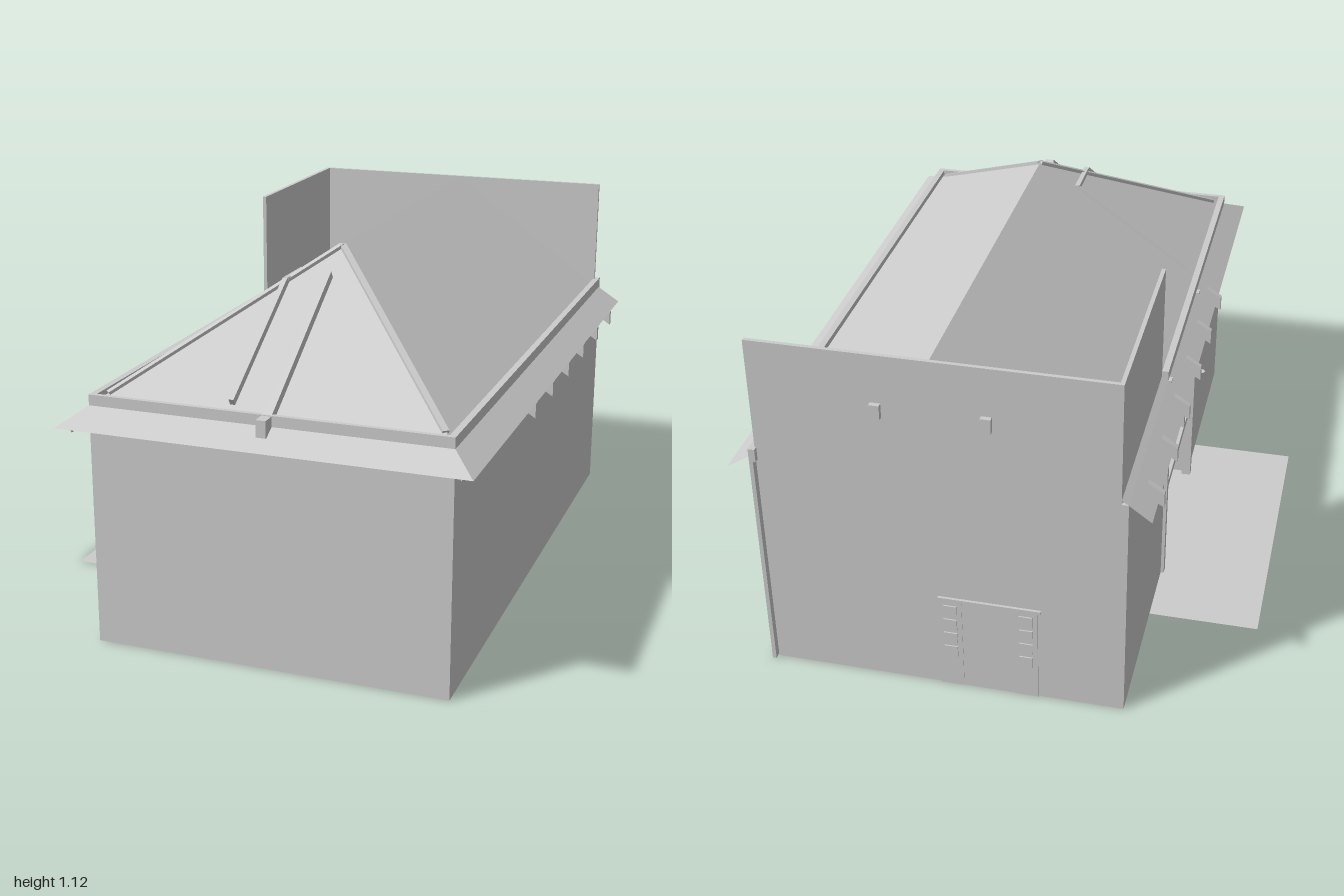
import * as THREE from 'three';

export function createModel() {
  const model = new THREE.Group();
  const mat = new THREE.MeshStandardMaterial({ color: 0xcccccc, side: THREE.DoubleSide, flatShading: true });

  const add = (name, geometry) => {
    const mesh = new THREE.Mesh(geometry, mat);
    mesh.name = name;
    model.add(mesh);
    return mesh;
  };
  // Box given by its minimum and maximum corners
  const box = (name, x0, x1, y0, y1, z0, z1) =>
    add(name, new THREE.BoxGeometry(x1 - x0, y1 - y0, z1 - z0))
      .position.set((x0 + x1) / 2, (y0 + y1) / 2, (z0 + z1) / 2);
  // Flat sheet through three or four corners
  const sheet = (name, ...corners) => {
    const g = new THREE.BufferGeometry();
    g.setAttribute('position', new THREE.Float32BufferAttribute(corners.flat(), 3));
    g.setIndex(corners.length === 4 ? [0, 1, 2, 0, 2, 3] : [0, 1, 2]);
    g.computeVertexNormals();
    add(name, g);
  };
  // Square bar between two points
  const bar = (name, a, b, w, h) => {
    const p = new THREE.Vector3(...a), q = new THREE.Vector3(...b);
    const mesh = add(name, new THREE.BoxGeometry(w, h, p.distanceTo(q)));
    mesh.position.copy(p).add(q).multiplyScalar(0.5);
    mesh.lookAt(q);
  };

  const L = -0.41, R = 0.67, B = -0.985, F = 0.91, mid = 0.135;
  const wallTop = 0.735, ridge = 1.115, apexZ = 0.3, t = 0.012;
  const openBack = -0.34, openFront = 0.24;

  // Floor with an open corner and a paved step outside the entrance
  const floor = new THREE.Shape([
    [R, -F], [R, -B], [L, -B], [L, 0.55], [-0.75, 0.55], [-0.75, -0.41], [-0.02, -0.41], [-0.02, -F],
  ].map(([x, y]) => new THREE.Vector2(x, y)));
  add('floor', new THREE.ShapeGeometry(floor).rotateX(-Math.PI / 2));

  // Outer walls
  box('frontWall', L, R, 0, wallTop, F - t, F);
  box('sideWall', R - t, R, 0, wallTop, -1, F);
  box('entranceWallFront', L, L + t, 0, wallTop, openFront, F);
  box('entranceWallBack', L, L + t, 0, wallTop, B, openBack);
  box('tallBackWall', L + 0.02, R - 0.015, 0, ridge, B, B + t);
  box('backWallCorner', L, L + 0.03, 0, wallTop, B, B + t);
  box('tallSideWall', L + 0.02, L + 0.02 + t, 0, ridge, B, openBack);

  // Inner room behind the open corner
  box('innerCrossWall', L, -0.02, 0, wallTop, openFront, openFront + t);
  box('innerLongWall', -0.02 - t, -0.02, 0, wallTop, openFront, F);

  // Entrance frame
  for (const z of [openBack, openFront - 0.02]) box('entrancePost', L - 0.01, L + 0.02, 0, wallTop, z, z + 0.025);
  box('entranceMullion', L, L + 0.015, 0.29, 0.69, 0.07, 0.09);
  box('entranceTransom', L, L + 0.02, 0.275, 0.3, openBack, openFront);
  box('entranceHeader', L, L + 0.02, 0.66, wallTop, openBack, openFront);

  // Hipped roof with a straight end against the tall wall
  const apex = [mid, ridge, apexZ], back = [mid, ridge, B];
  const fl = [L, wallTop, F], fr = [R, wallTop, F], bl = [L, wallTop, B], br = [R, wallTop, B];
  sheet('roofLeft', bl, fl, apex, back);
  sheet('roofRight', fr, br, back, apex);
  sheet('roofFront', fl, fr, apex);

  // Sloping eaves with mitred front corners
  const ey = 0.687, eL = -0.475, eR = 0.745, eF = 1;
  sheet('eave', [eL, ey, B], [eL, ey, eF], fl, bl);
  sheet('eave', [eR, ey, eF], [eR, ey, B], br, fr);
  sheet('eave', [eL, ey, eF], [eR, ey, eF], fr, fl);

  // Raised kerb along the roof edge
  box('roofKerb', L, L + 0.02, wallTop - 0.01, 0.767, openBack, F);
  box('roofKerb', R - 0.02, R, wallTop - 0.01, 0.767, -1, F);
  box('roofKerb', L, R, wallTop - 0.01, 0.767, F - 0.015, F);

  // Brackets under the side eaves
  const bracket = new THREE.Shape([[0, 0.732], [0.075, 0.685], [0.075, 0.64], [0, 0.687]]
    .map(([x, y]) => new THREE.Vector2(x, y)));
  const bracketGeo = new THREE.ExtrudeGeometry(bracket, { depth: 0.02, bevelEnabled: false });
  for (let i = 0; i < 6; i++) {
    const z = 0.3 - i * 0.227;
    add('eaveBracket', bracketGeo).position.set(R, 0, z - 0.01);
    const left = add('eaveBracket', bracketGeo);
    left.rotation.y = Math.PI;
    left.position.set(L, 0, z + 0.01);
  }
  // Small supports under the mitred corners
  for (const [x, s] of [[L, -1], [R, 1]])
    bar('cornerBracket', [x, 0.69, F], [x + s * 0.04, 0.675, F + 0.045], 0.015, 0.02);

  // Hip caps and bars lying on the roof slopes
  const ontoFront = y => F - (y - wallTop) / (ridge - wallTop) * (F - apexZ);
  const ontoLeft = y => L + (y - wallTop) / (ridge - wallTop) * (mid - L);
  bar('hipCap', [L + 0.04, 0.762, F - 0.045], apex, 0.02, 0.012);
  bar('hipCap', [R - 0.04, 0.762, F - 0.045], apex, 0.02, 0.012);
  bar('frontRoofBar', [0.012, 0.775, ontoFront(0.765)], [0.012, 1.03, ontoFront(1.02)], 0.015, 0.025);
  bar('levelRoofBar', [0.012, 1.03, ontoFront(1.02)], [0.012, 1.03, 0.31], 0.015, 0.02);
  bar('sideRoofBar', [0.012, 1.03, 0.315], [ontoLeft(0.77), 0.77, 0.315], 0.012, 0.016);
  bar('centreRoofBar', [mid, 0.755, 0.9], [mid, 1.055, 0.43], 0.028, 0.025);
  box('centreBarEnd', mid - 0.015, mid + 0.015, 0.715, 0.765, F - 0.01, 0.952);

  // Lamps on the back wall and beside the entrance
  for (const x of [0.29, -0.02]) box('backLamp', x - 0.015, x + 0.015, 0.92, 0.965, -1, B);
  const lamp = new THREE.CylinderGeometry(0.016, 0.008, 0.028, 8);
  add('entranceLamp', lamp).position.set(L - 0.015, 0.352, 0.33);

  // Back door with a lintel and two side lights of four panes
  box('doorLintel', -0.165, 0.14, 0.315, 0.325, B - 0.008, B);
  box('doorLeaf', -0.085, 0.075, 0, 0.315, B - 0.002, B);
  for (const x of [0.105, -0.12]) {
    box('sideLight', x - 0.035, x + 0.035, 0, 0.315, B - 0.004, B);
    for (let i = 0; i < 4; i++)
      box('sideLightPane', x - 0.02, x + 0.02, 0.11 + i * 0.05, 0.148 + i * 0.05, B - 0.008, B);
  }
  return model;
}
